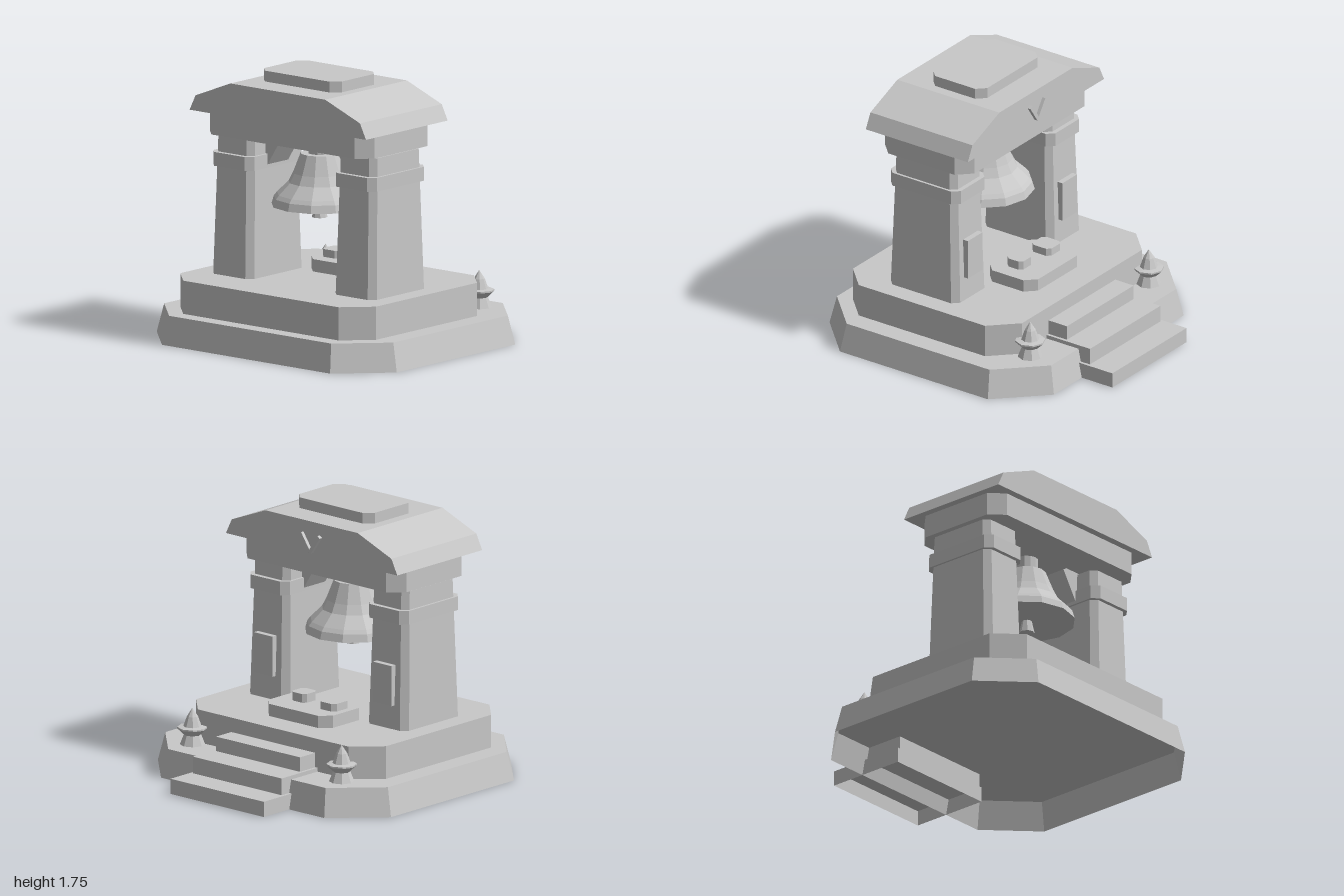
import * as THREE from 'three';

const stone = new THREE.MeshStandardMaterial({ color: 0xc8c8c8 });
stone.name = 'stone grey';
stone.side = THREE.DoubleSide;
stone.flatShading = true;

// Rectangle outline with cut corners, anticlockwise seen from above.
function ring(hx, hz, c) {
  if (!c) return [[hx, hz], [hx, -hz], [-hx, -hz], [-hx, hz]];
  return [[hx - c, hz], [hx, hz - c], [hx, c - hz], [hx - c, -hz],
    [c - hx, -hz], [-hx, c - hz], [-hx, hz - c], [c - hx, hz]];
}

// Block between two outlines [halfX, halfZ, cut]; the underside may be left open.
function block(bottom, top, y0, y1, open = false) {
  const b = ring(...bottom), t = ring(...top), n = b.length, pos = [];
  const tri = (...pts) => pts.forEach(([p, y]) => pos.push(p[0], y, p[1]));
  for (let i = 0; i < n; i++) {
    const j = (i + 1) % n;
    tri([b[i], y0], [b[j], y0], [t[j], y1]);
    tri([b[i], y0], [t[j], y1], [t[i], y1]);
    if (i > 0 && i < n - 1) {
      tri([t[0], y1], [t[i], y1], [t[j], y1]);
      if (!open) tri([b[0], y0], [b[j], y0], [b[i], y0]);
    }
  }
  const g = new THREE.BufferGeometry();
  g.setAttribute('position', new THREE.Float32BufferAttribute(pos, 3));
  g.computeVertexNormals();
  return g;
}

export function createModel() {
  const model = new THREE.Group();
  model.name = 'bellShrine';
  const add = (name, geo, x = 0, y = 0, z = 0, parent = model) => {
    const m = new THREE.Mesh(geo, stone);
    m.name = name;
    m.position.set(x, y, z);
    parent.add(m);
    return m;
  };
  const prism = (name, hx, hz, c, y0, y1, x, z, open) =>
    add(name, block([hx, hz, c], [hx, hz, c], y0, y1, open), x, 0, z);

  // Two-tier platform, hollow beneath
  add('base', block([1, 0.88, 0.3], [0.955, 0.84, 0.28], 0, 0.185, true), 0, 0, 0.12);
  prism('platform', 0.815, 0.663, 0.168, 0.185, 0.4, 0, 0.192);

  // Back steps
  [[0.4, -1, 0, 0.1], [0.38, -0.81, 0.1, 0.21], [0.36, -0.615, 0.21, 0.305]].forEach(([hx, z0, y0, y1], i) => {
    const z1 = -0.46;
    prism('step' + (i + 1), hx, (z1 - z0) / 2, 0, y0, y1, 0, (z0 + z1) / 2, true);
  });

  // Mirrored pillars, collars, braces, panels and finials
  const finialProfile = [[0, 0.185], [0.08, 0.185], [0.055, 0.25], [0.097, 0.29], [0.097, 0.3],
    [0.058, 0.305], [0.035, 0.37], [0, 0.425]].map(p => new THREE.Vector2(...p));
  for (const s of [-1, 1]) {
    const side = s > 0 ? 'left' : 'right';
    add(side + 'Pillar', block([0.172, 0.272, 0.042], [0.152, 0.24, 0.038], 0.4, 1.31), s * 0.51, 0, 0.29);
    prism(side + 'Collar', 0.171, 0.275, 0.045, 1.1, 1.19, s * 0.51, 0.29);
    add(side + 'Brace', new THREE.BoxGeometry(0.28, 0.3, 0.2), s * 0.424, 1.25, 0.29).rotation.z = s * 0.56;
    add(side + 'Panel', new THREE.BoxGeometry(0.16, 0.265, 0.05), s * 0.51, 0.69, 0.02);
    add(side + 'Finial', new THREE.LatheGeometry(finialProfile, 8), s * 0.64, 0, -0.53);
  }

  // Lintel, roof and cap
  prism('lintel', 0.685, 0.35, 0.09, 1.32, 1.47, 0, 0.29);
  const roof = new THREE.Shape([[-0.735, 1.47], [0.735, 1.47], [0.685, 1.57], [0.395, 1.685],
    [-0.395, 1.685], [-0.685, 1.57]].map(p => new THREE.Vector2(...p)));
  add('roof', new THREE.ExtrudeGeometry(roof, { depth: 0.8, bevelEnabled: false }), 0, 0, -0.11);
  prism('roofCap', 0.325, 0.212, 0.055, 1.685, 1.755, 0, 0.287);

  // Crossed twig ornament on the back of the roof
  const ornament = new THREE.Group();
  ornament.name = 'roofOrnament';
  model.add(ornament);
  for (const s of [-1, 1]) {
    add('ornamentBar', new THREE.BoxGeometry(0.025, 0.135, 0.03), s * 0.042, 1.545, -0.118, ornament).rotation.z = -s * 0.6;
  }

  // Hanging bell with its lip and clapper
  const bell = new THREE.Group();
  bell.name = 'bell';
  bell.position.z = 0.28;
  model.add(bell);
  const bellProfile = [[0, 0.89], [0.31, 0.89], [0.295, 0.94], [0.275, 0.965], [0.2, 1.04],
    [0.17, 1.1], [0.122, 1.225], [0, 1.225]].map(p => new THREE.Vector2(...p));
  add('bellBody', new THREE.LatheGeometry(bellProfile, 12), 0, 0, 0, bell);
  add('bellHanger', new THREE.CylinderGeometry(0.073, 0.073, 0.11, 12), 0, 1.275, 0, bell);
  add('clapper', new THREE.CylinderGeometry(0.028, 0.05, 0.1, 8), 0, 0.86, 0, bell);

  // Offering plinth with two small stones
  prism('plinth', 0.277, 0.19, 0.068, 0.4, 0.48, 0, -0.09);
  prism('offeringStone1', 0.07, 0.075, 0.025, 0.48, 0.53, -0.16, -0.075);
  prism('offeringStone2', 0.062, 0.062, 0.022, 0.48, 0.537, 0.11, -0.06);

  return model;
}
